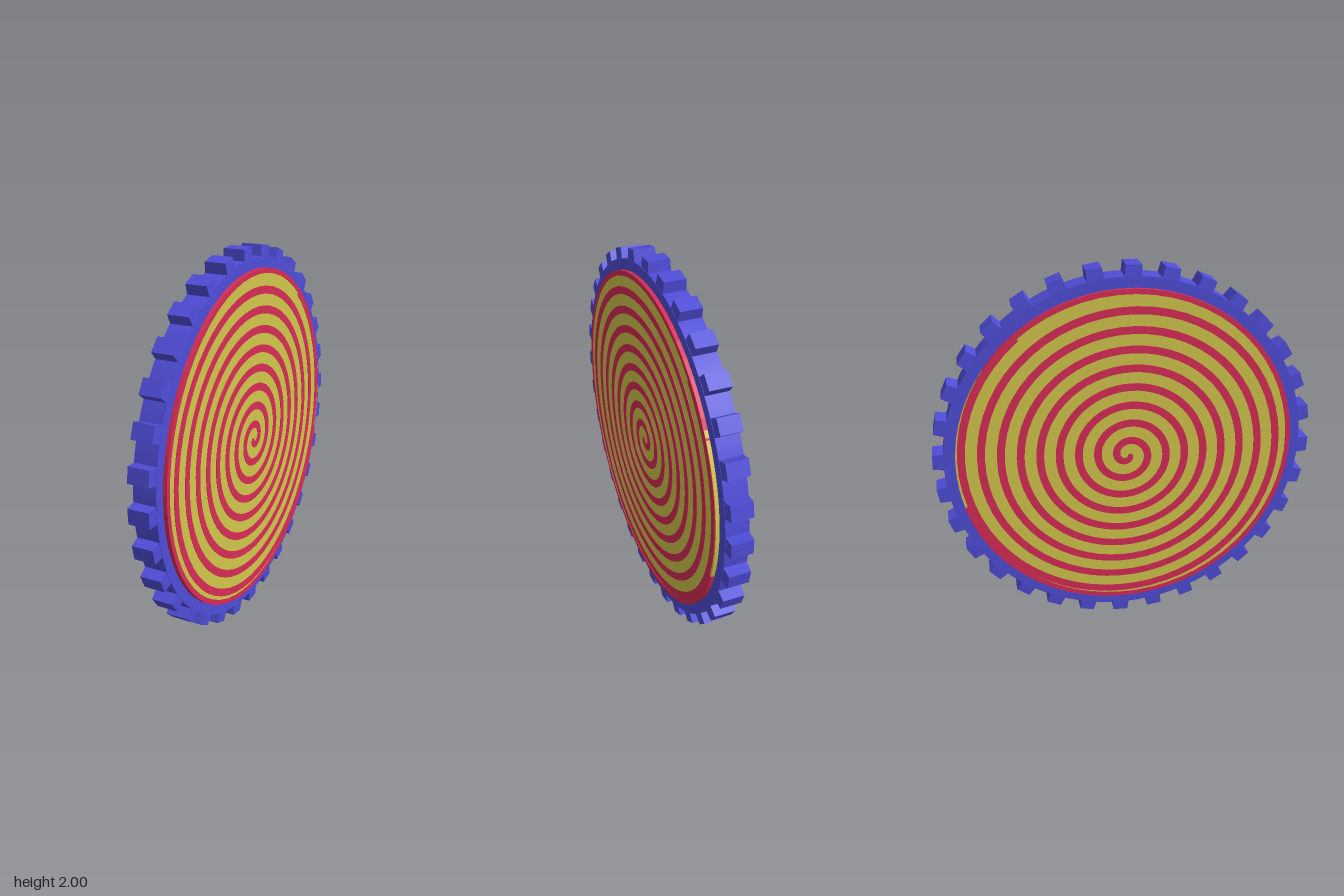
import * as THREE from 'three';

const rim = new THREE.MeshStandardMaterial({ color: 0x4f4dd8 });
rim.name = 'blue';
const cream = new THREE.MeshStandardMaterial({ color: 0xd2c64c });
cream.name = 'yellow';
const swirl = new THREE.MeshStandardMaterial({ color: 0xd82c56 });
swirl.name = 'red';
const deg = Math.PI / 180;

function add(parent, name, geometry, material) {
  const mesh = new THREE.Mesh(geometry, material);
  mesh.name = name;
  parent.add(mesh);
  return mesh;
}

// Flat ribbon along a polar curve, extruded through the wheel
function ribbon(start, end, radiusAt, width, depth) {
  const steps = Math.ceil((end - start) / (6 * deg));
  const outer = [], inner = [];
  for (let i = 0; i <= steps; i++) {
    const a = start + ((end - start) * i) / steps;
    const r = radiusAt(a);
    const ro = Math.min(r + width / 2, 0.888), ri = Math.max(r - width / 2, 0.002);
    outer.push(new THREE.Vector2(Math.cos(a) * ro, Math.sin(a) * ro));
    inner.push(new THREE.Vector2(Math.cos(a) * ri, Math.sin(a) * ri));
  }
  const shape = new THREE.Shape([...outer, ...inner.reverse()]);
  const g = new THREE.ExtrudeGeometry(shape, { depth, bevelEnabled: false });
  return g.translate(0, 0, -depth / 2);
}

export function createModel() {
  const model = new THREE.Group();
  model.name = 'spiralGear';

  // Built facing +z, then turned so the axle lies along x
  const wheel = new THREE.Group();
  wheel.name = 'wheel';
  wheel.rotation.y = Math.PI / 2;
  wheel.position.y = 1;
  model.add(wheel);

  // Gear body
  add(wheel, 'gearBody', new THREE.CylinderGeometry(0.944, 0.944, 0.12, 96).rotateX(Math.PI / 2), rim);

  // Teeth, slightly narrower at the tip
  const tooth = new THREE.BoxGeometry(0.09, 0.08, 0.12);
  const p = tooth.attributes.position;
  for (let i = 0; i < p.count; i++) {
    if (p.getY(i) > 0) {
      p.setX(i, p.getX(i) * 0.88);
      p.setZ(i, p.getZ(i) * 0.92);
    }
  }
  tooth.computeVertexNormals();
  tooth.translate(0, 0.959, 0);
  const teeth = 32;
  for (let i = 0; i < teeth; i++) {
    add(wheel, 'tooth', tooth, rim).rotation.z = 2 * deg + (i / teeth) * Math.PI * 2;
  }

  // Disc with the spiral running through it
  add(wheel, 'disc', new THREE.CylinderGeometry(0.885, 0.885, 0.156, 96).rotateX(Math.PI / 2), cream);
  const start = 159 * deg, turns = 8.7, pitch = 0.1;
  const end = start + turns * 2 * Math.PI;
  add(wheel, 'spiral', ribbon(start, end, a => (pitch * (a - start)) / (2 * Math.PI), 0.04, 0.16), swirl);

  // Outer end of the spiral, wrapping the edge of the disc
  add(wheel, 'outerBand', ribbon(51 * deg, 345 * deg, () => 0.875, 0.026, 0.16), swirl);

  return model;
}
